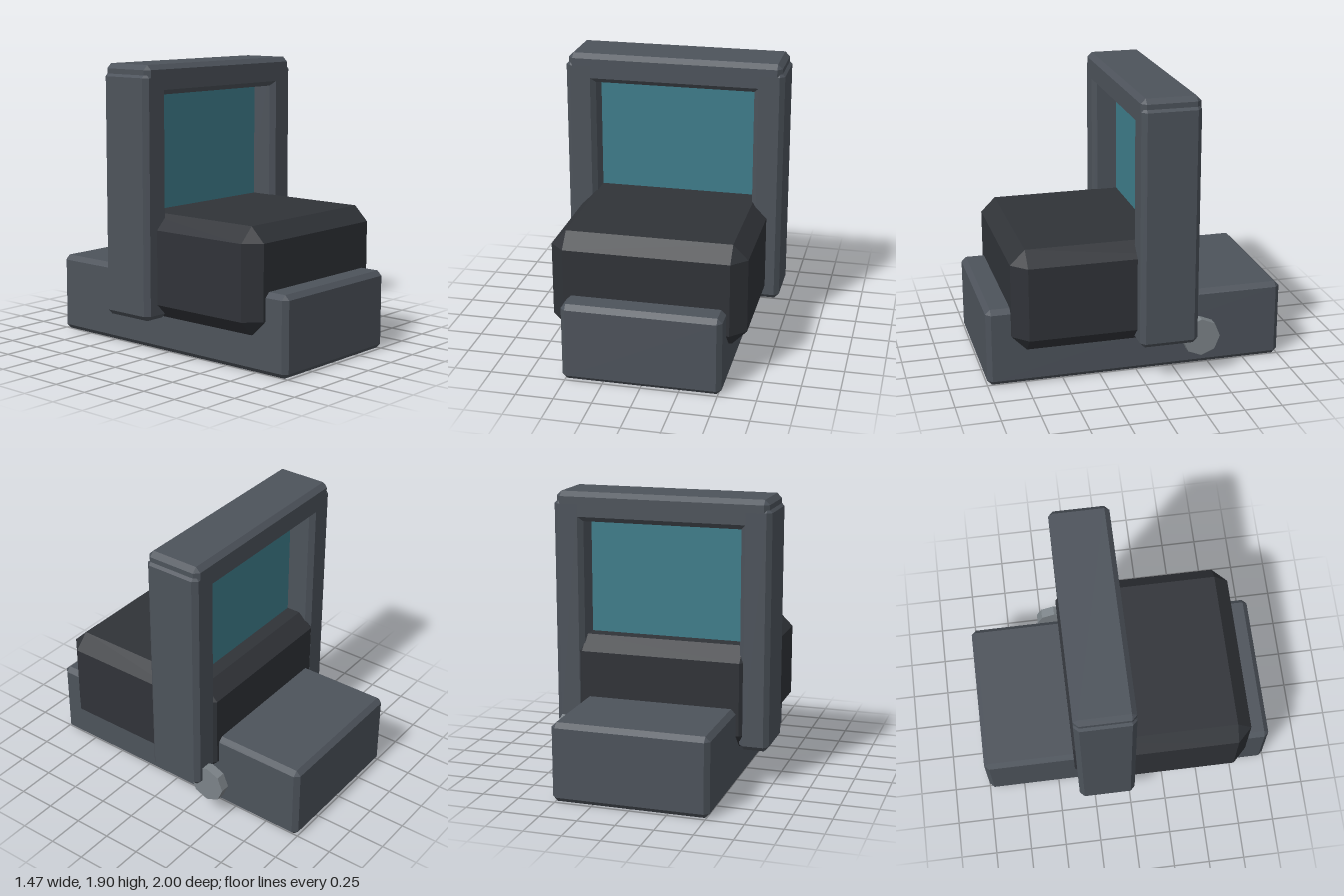
import * as THREE from 'three';
import { ConvexGeometry } from 'three/addons/geometries/ConvexGeometry.js';

const paint = (color) => new THREE.MeshStandardMaterial({ color, flatShading: true });

// Box between two corners with every edge cut by the bevel c
function bevelBox(name, min, max, c, material) {
  const half = max.map((v, i) => (v - min[i]) / 2);
  const points = [];
  for (const sx of [-1, 1]) for (const sy of [-1, 1]) for (const sz of [-1, 1]) {
    for (let axis = 0; axis < 3; axis++) {
      const p = [sx, sy, sz].map((s, i) => s * (half[i] - (i === axis ? 0 : c)));
      points.push(new THREE.Vector3(...p));
    }
  }
  const mesh = new THREE.Mesh(new ConvexGeometry(points), material);
  mesh.position.set(...min.map((v, i) => (v + max[i]) / 2));
  mesh.name = name;
  return mesh;
}

export function createModel() {
  const group = new THREE.Group();
  const casing = paint(0x4d535b);
  const dark = paint(0x303338);
  const glass = paint(0x3f7d8b);
  const metal = paint(0x7c8388);

  // Long base and the dark housing straddling it
  group.add(bevelBox('base', [-0.522, 0, -1], [0.522, 0.528, 1], 0.032, casing));
  group.add(bevelBox('housing', [-0.64, 0.247, -0.375], [0.64, 0.935, 0.84], 0.098, dark));

  // Upright frame: two posts and a top bar
  for (const side of [-1, 1]) {
    const x = [0.535 * side, 0.735 * side].sort((a, b) => a - b);
    const name = side > 0 ? 'leftPost' : 'rightPost';
    group.add(bevelBox(name, [x[0], 0.245, -0.36], [x[1], 1.85, 0.03], 0.032, casing));
  }
  group.add(bevelBox('topBar', [-0.718, 1.705, -0.36], [0.718, 1.9, 0.03], 0.032, casing));

  // Glass pane set midway in the frame
  const pane = new THREE.Mesh(new THREE.BoxGeometry(1.1, 0.86, 0.04), glass);
  pane.position.set(0, 1.3, -0.16);
  pane.name = 'glassPane';
  group.add(pane);

  // Eight-sided knob on the left side
  const knob = new THREE.Mesh(new THREE.CylinderGeometry(0.127, 0.127, 0.065, 8), metal);
  knob.rotation.z = Math.PI / 2;
  knob.position.set(0.652, 0.263, -0.395);
  knob.name = 'knob';
  group.add(knob);

  return group;
}
